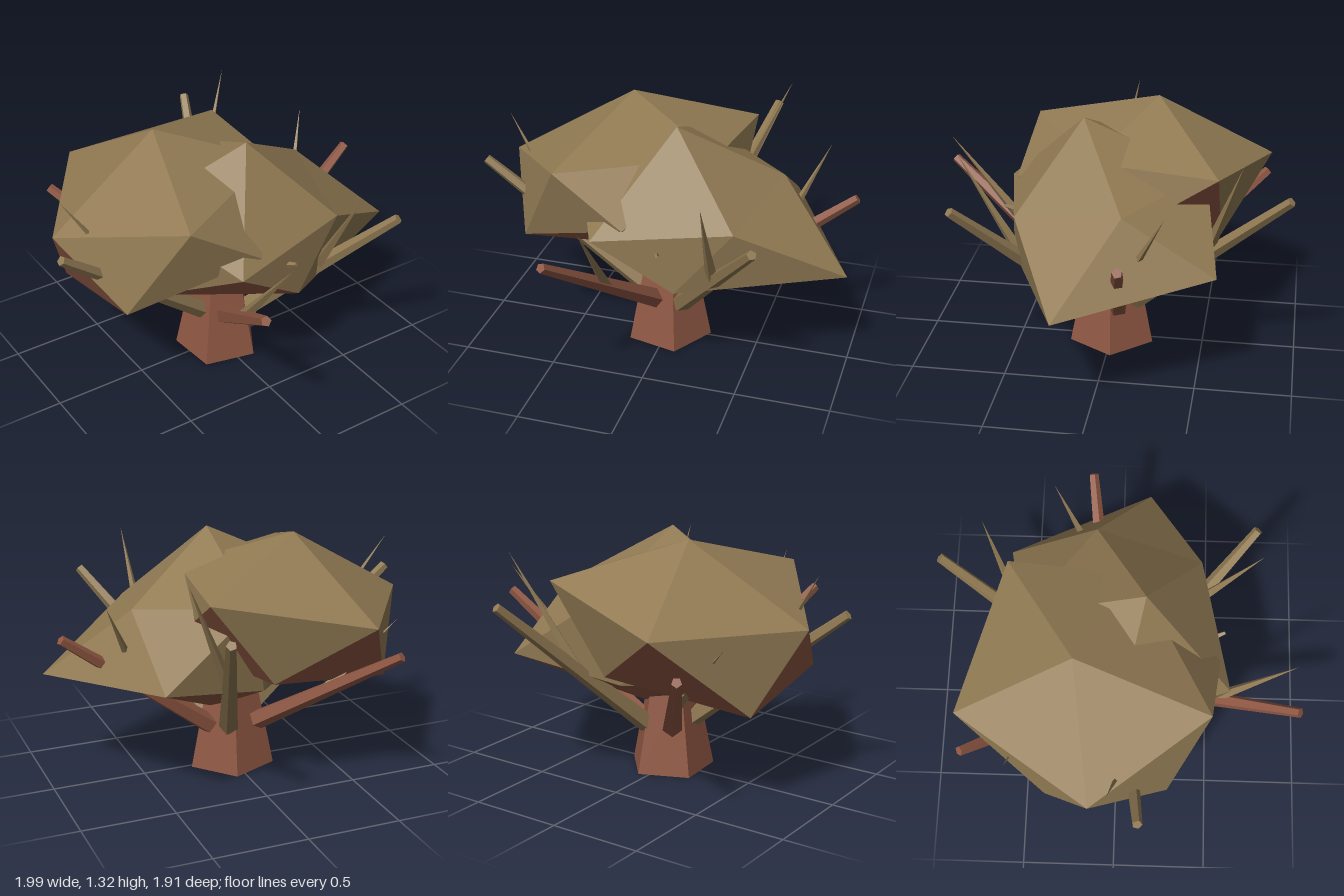
import * as THREE from 'three';

export function createModel() {
  const group = new THREE.Group();
  group.name = 'thornyBush';
  const leaf = new THREE.MeshStandardMaterial({ color: 0x917a53, flatShading: true });
  leaf.name = 'dry olive';
  const bark = new THREE.MeshStandardMaterial({ color: 0x8f5743, flatShading: true });
  bark.name = 'red brown bark';

  function add(name, geometry, material) {
    const mesh = new THREE.Mesh(geometry, material);
    mesh.name = name;
    group.add(mesh);
    return mesh;
  }

  // Trunk: tapered pentagon
  const trunk = new THREE.CylinderGeometry(0.145, 0.236, 0.45, 5, 1, false, THREE.MathUtils.degToRad(95));
  add('trunk', trunk.translate(0, 0.225, 0), bark);

  // Foliage clump: twelve-point lump (top, upper ring, lower ring, bottom);
  // lower[i] sits between upper[i] and upper[i + 1]. Faces looking down are bark coloured.
  function clump(name, top, upper, lower, bottom) {
    const faces = [];
    for (let i = 0; i < 5; i++) {
      const j = (i + 1) % 5;
      faces.push([top, upper[i], upper[j]], [upper[i], lower[i], upper[j]],
        [lower[i], lower[j], upper[j]], [bottom, lower[j], lower[i]]);
    }
    const sets = { up: [], down: [] };
    const normal = new THREE.Vector3();
    for (const face of faces) {
      const points = face.map((p) => new THREE.Vector3(...p));
      new THREE.Triangle(...points).getNormal(normal);
      sets[normal.y < -0.3 ? 'down' : 'up'].push(...points);
    }
    const geometry = new THREE.BufferGeometry().setFromPoints([...sets.up, ...sets.down]);
    geometry.addGroup(0, sets.up.length, 0);
    geometry.addGroup(sets.up.length, sets.down.length, 1);
    geometry.computeVertexNormals();
    add(name, geometry, [leaf, bark]);
  }

  clump('rightFoliage', [0.08, 1.3, 0.135],
    [[0.455, 0.89, 0.43], [0.59, 0.98, -0.13], [0.08, 1.03, -0.5], [-0.5, 1.03, 0], [-0.24, 0.83, 0.585]],
    [[0.99, 0.59, 0.155], [0.58, 0.68, -0.6], [0, 0.57, -0.45], [-0.43, 0.5, 0.04], [0.17, 0.55, 0.5]],
    [0.1, 0.33, 0]);
  clump('leftFoliage', [-0.26, 1.32, -0.215],
    [[-0.44, 0.96, -0.82], [-0.905, 0.935, -0.13], [-0.47, 1.12, 0.475], [0.27, 1.13, 0.08], [0.34, 1.1, -0.58]],
    [[-0.73, 0.52, -0.37], [-0.72, 0.63, 0.27], [-0.09, 0.88, 0.53], [0.35, 0.75, -0.05], [0, 0.65, -0.58]],
    [-0.2, 0.48, -0.05]);

  // Tapered stick between two points
  function stick(name, from, to, r0, r1, sides, material) {
    const a = new THREE.Vector3(...from);
    const dir = new THREE.Vector3(...to).sub(a);
    const length = dir.length();
    const geometry = new THREE.CylinderGeometry(r1, r0, length, sides).translate(0, length / 2, 0);
    const mesh = add(name, geometry, material);
    mesh.position.copy(a);
    mesh.quaternion.setFromUnitVectors(new THREE.Vector3(0, 1, 0), dir.normalize());
  }

  // Main branches, each with a thorn growing from its middle
  const branches = [
    [[-0.03, 0.25, 0.1], [-0.355, 0.86, 0.94], bark, [-0.18, 1.06, 0.91]],
    [[0.14, 0.25, -0.05], [0.97, 0.88, -0.165], bark, [0.79, 1.08, -0.36]],
    [[-0.1, 0.27, -0.13], [-0.59, 0.79, -0.8], bark, [-0.69, 0.9, -0.56]],
    [[-0.1, 0.27, 0.03], [-0.985, 0.97, 0.12], leaf, [-0.9, 1.19, -0.03]],
    [[0.06, 0.26, -0.13], [0.38, 1.03, -0.94], leaf, [0.495, 1.255, -0.71]],
    [[0.1, 0.26, 0.12], [0.615, 0.97, 0.72], leaf, [0.365, 1.175, 0.73]],
  ];
  for (const [from, to, material, tip] of branches) {
    stick('branch', from, to, 0.055, 0.026, 5, material);
    const middle = from.map((v, i) => v + (to[i] - v) * 0.48);
    stick('thorn', middle, tip, 0.035, 0, 4, leaf);
  }
  // Short thorn poking out of the front
  stick('frontThorn', [0, 0.66, 0.25], [0.1, 0.79, 0.56], 0.05, 0.01, 4, leaf);

  return group;
}
